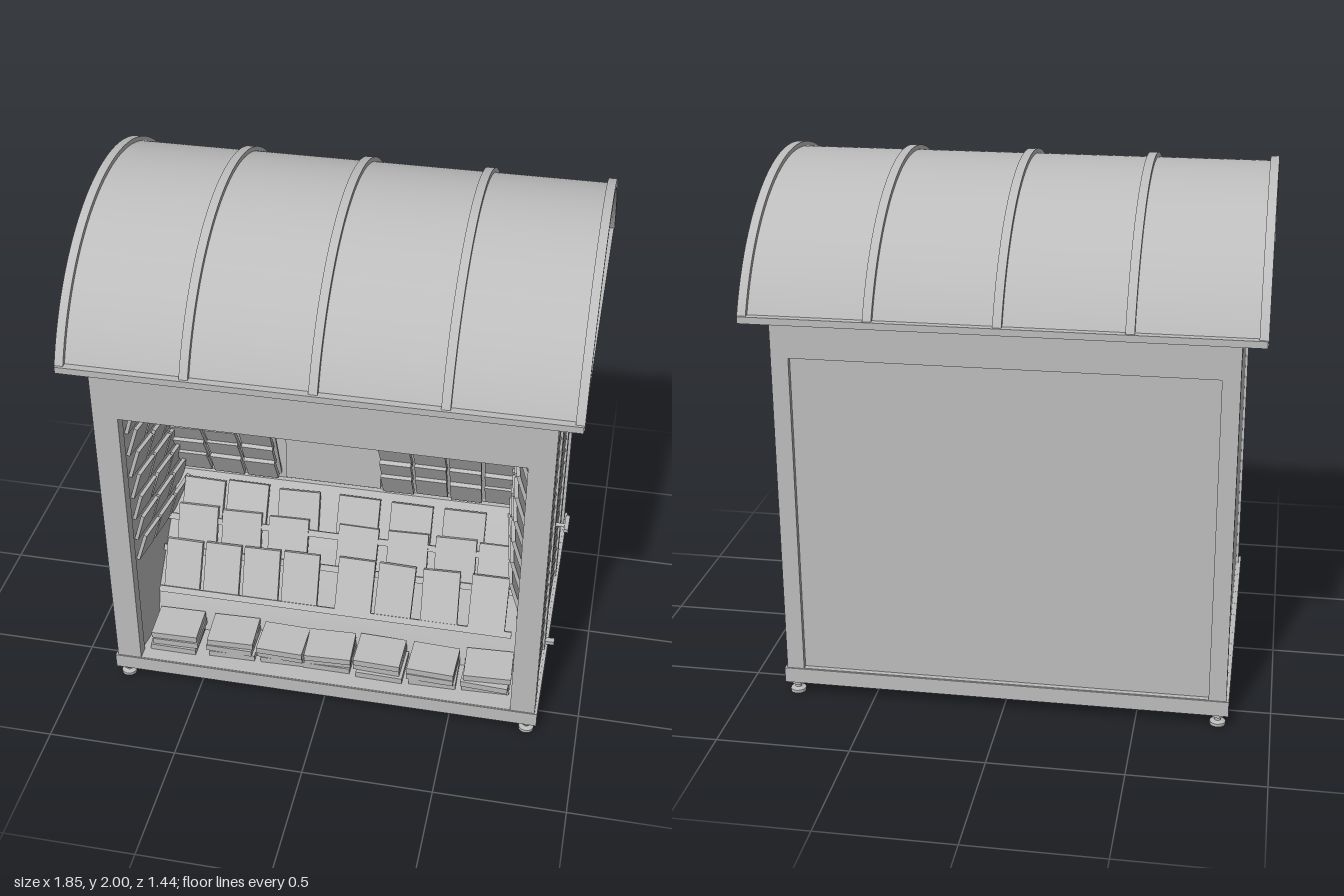
import * as THREE from 'three';
import { toCreasedNormals } from 'three/addons/utils/BufferGeometryUtils.js';

const grey = new THREE.MeshStandardMaterial({ color: 0xbcbcbc });
grey.name = 'plain grey';

let seed = 7;
const rand = () => (seed = (seed * 16807) % 2147483647) / 2147483647;
const jitter = (a) => (rand() - 0.5) * 2 * a;

function add(parent, name, geometry) {
  const mesh = new THREE.Mesh(geometry, grey);
  mesh.name = name;
  parent.add(mesh);
  return mesh;
}

// Box given by its minimum and maximum on each axis
function block(parent, name, x0, x1, y0, y1, z0, z1) {
  const mesh = add(parent, name, new THREE.BoxGeometry(x1 - x0, y1 - y0, z1 - z0));
  mesh.position.set((x0 + x1) / 2, (y0 + y1) / 2, (z0 + z1) / 2);
  return mesh;
}

// Thin box with a centre and a tilt
function sheet(parent, name, w, h, d, x, y, z, rx = 0, ry = 0, rz = 0) {
  const mesh = add(parent, name, new THREE.BoxGeometry(w, h, d));
  mesh.position.set(x, y, z);
  mesh.rotation.set(rx, ry, rz);
  return mesh;
}

const rect = (a0, a1, b0, b1, Type = THREE.Shape) => new Type(
  [[a0, b0], [a1, b0], [a1, b1], [a0, b1]].map(([a, b]) => new THREE.Vector2(a, b)));

function extrude(shape, depth) {
  return new THREE.ExtrudeGeometry(shape, { depth, bevelEnabled: false, curveSegments: 40 });
}

// Extrudes a shape drawn in (-z, y) along x
function alongX(parent, name, shape, x0, x1) {
  const geometry = extrude(shape, x1 - x0).rotateY(Math.PI / 2).translate(x0, 0, 0);
  return add(parent, name, toCreasedNormals(geometry, 0.4));
}

// Arch band between two radii, or a filled segment when inner is 0
const ARC_Y = 1.226, EAVE = 1.52;
function arch(outer, inner) {
  const angle = (r) => Math.asin((EAVE - ARC_Y) / r);
  const shape = new THREE.Shape();
  const a = angle(outer);
  shape.absarc(0, ARC_Y, outer, a, Math.PI - a, false);
  if (inner) {
    const b = angle(inner);
    shape.absarc(0, ARC_Y, inner, Math.PI - b, b, true);
  }
  shape.closePath();
  return shape;
}

function buildRoof() {
  const roof = new THREE.Group();
  roof.name = 'roof';
  block(roof, 'eavePlate', -0.92, 0.92, 1.51, 1.535, -0.72, 0.72);
  alongX(roof, 'roofSkin', arch(0.757, 0.738), -0.91, 0.91);
  for (const x of [-0.907, -0.457, 0, 0.457, 0.907]) {
    alongX(roof, 'roofRib', arch(0.774, 0.74), x - 0.016, x + 0.016);
  }
  alongX(roof, 'gableWalls', arch(0.745, 0), -0.86, 0.86);
  return roof;
}

function buildBody() {
  const body = new THREE.Group();
  body.name = 'body';
  block(body, 'basePlate', -0.845, 0.845, 0.05, 0.11, -0.635, 0.635);

  // Front frame around the display opening
  const front = rect(-0.83, 0.83, 0.11, 1.515);
  front.holes.push(rect(-0.74, 0.74, 0.112, 1.275, THREE.Path));
  add(body, 'frontFrame', extrude(front, 0.05).translate(0, 0, 0.58));

  // Back frame and recessed panel
  const back = rect(-0.83, 0.83, 0.11, 1.515);
  back.holes.push(rect(-0.77, 0.77, 0.112, 1.36, THREE.Path));
  add(body, 'backFrame', extrude(back, 0.03).translate(0, 0, -0.63));
  block(body, 'backPanel', -0.8, 0.8, 0.11, 1.5, -0.61, -0.6);

  // Side with three bays
  const bays = [[0.27, 0.555], [-0.19, 0.2], [-0.56, -0.26]];
  const side = rect(-0.63, 0.63, 0.11, 1.515);
  for (const [z0, z1] of bays) side.holes.push(rect(-z1, -z0, 0.112, 1.36, THREE.Path));
  alongX(body, 'doorSideFrame', side, 0.8, 0.835);
  block(body, 'doorSidePanel', 0.79, 0.808, 0.11, 1.5, -0.6, 0.6);
  for (const [z0, z1] of bays.slice(0, 2)) {
    for (let i = 0; i < 19; i++) {
      sheet(body, 'louverSlat', 0.006, 0.06, z1 - z0, 0.817, 0.165 + i * 0.064, (z0 + z1) / 2, 0, 0, 0.3);
    }
  }

  // Plain side
  const plain = rect(-0.63, 0.63, 0.11, 1.515);
  plain.holes.push(rect(-0.57, 0.57, 0.112, 1.42, THREE.Path));
  alongX(body, 'plainSideFrame', plain, -0.835, -0.8);
  block(body, 'plainSidePanel', -0.825, -0.79, 0.11, 1.5, -0.6, 0.6);

  // Door handle and lower bolt
  const stem = add(body, 'handleStem', new THREE.CylinderGeometry(0.008, 0.008, 0.05, 10));
  stem.rotation.z = Math.PI / 2;
  stem.position.set(0.855, 0.73, 0.235);
  block(body, 'handleLever', 0.868, 0.884, 0.724, 0.738, 0.18, 0.27);
  block(body, 'lowerBolt', 0.83, 0.87, 0.115, 0.13, 0.215, 0.24);

  // Levelling feet
  for (const x of [-0.805, 0.805]) for (const z of [-0.6, 0.6]) {
    const profile = [[0, 0], [0.03, 0], [0.03, 0.012], [0.012, 0.018], [0.012, 0.032], [0.024, 0.034], [0.024, 0.05], [0, 0.05]];
    const geometry = new THREE.LatheGeometry(profile.map(([r, y]) => new THREE.Vector2(r, y)), 12);
    add(body, 'foot', toCreasedNormals(geometry, 0.6)).position.set(x, 0, z);
  }
  return body;
}

function buildDisplay() {
  const display = new THREE.Group();
  display.name = 'newspaperDisplay';
  block(display, 'ceiling', -0.79, 0.79, 1.28, 1.36, 0.1, 0.6);
  block(display, 'innerWall', -0.79, 0.79, 0.11, 1.36, 0.09, 0.11);
  block(display, 'servingWindow', -0.245, 0.135, 0.72, 1.085, 0.11, 0.135);

  // Sloping lower rack
  const slope = new THREE.Shape([[0.42, 0.11], [0.38, 0.28], [0.13, 0.7], [0.1, 0.7], [0.1, 0.11]]
    .map(([z, y]) => new THREE.Vector2(-z, y)));
  alongX(display, 'lowerRack', slope, -0.73, 0.73);

  // Papers leaning back on the rack: [y, z, height, width, positions]
  const rows = [
    [0.4, 0.37, 0.22, 0.145, [-0.62, -0.46, -0.3, -0.14, 0.08, 0.24, 0.42, 0.61]],
    [0.52, 0.275, 0.18, 0.16, [-0.58, -0.4, -0.21, 0.07, 0.27, 0.46, 0.63]],
    [0.62, 0.205, 0.16, 0.165, [-0.57, -0.39, -0.18, 0.06, 0.27, 0.48]],
  ];
  for (const [y, z, h, w, xs] of rows) {
    for (const x of xs) {
      sheet(display, 'leaningPaper', w, h, 0.022, x, y + jitter(0.008), z, -0.45 + jitter(0.04), 0, jitter(0.03));
    }
    sheet(display, 'rackLip', 1.42, 0.025, 0.012, 0, y - h * 0.42, z + 0.055, -0.5);
  }

  // Flat stacks on the floor
  for (const x of [-0.62, -0.39, -0.18, 0, 0.21, 0.42, 0.63]) {
    for (let i = 0; i < 3; i++) {
      sheet(display, 'stackedPaper', 0.185, 0.027, 0.15, x + jitter(0.006), 0.127 + i * 0.029, 0.49 + jitter(0.01), 0.06, jitter(0.05), 0);
    }
  }

  // Overhanging tiers either side of the window
  for (const [x0, x1] of [[-0.68, -0.27], [0.14, 0.68]]) {
    const n = x0 < 0 ? 3 : 4, step = (x1 - x0) / n;
    sheet(display, 'upperRack', x1 - x0, 0.46, 0.01, (x0 + x1) / 2, 0.93, 0.185, 0.35);
    for (let t = 0; t < 4; t++) for (let i = 0; i < n; i++) {
      sheet(display, 'hangingPaper', step * 0.9, 0.13, 0.018, x0 + (i + 0.5) * step, 0.78 + t * 0.085 + jitter(0.006),
        0.165 + t * 0.03, 0.5, 0, jitter(0.03));
    }
  }
  block(display, 'topRail', -0.7, 0.7, 1.24, 1.28, 0.27, 0.29);
  for (const x of [-0.6, -0.435, -0.285, -0.14, 0.075, 0.235, 0.45, 0.6]) {
    sheet(display, 'topPaper', 0.13, 0.155, 0.02, x, 1.178 + jitter(0.008), 0.285, 0.45, 0, jitter(0.03));
  }

  // Splayed side racks
  for (const s of [-1, 1]) {
    const rack = new THREE.Group();
    rack.name = 'sideRack';
    rack.position.set(s * 0.725, 0, 0.345);
    rack.rotation.y = -s * 1.44;
    sheet(rack, 'sideBoard', 0.47, 1.17, 0.01, 0, 0.695, 0);
    for (let r = 0; r < 7; r++) for (let c = -1; c <= 1; c++) {
      sheet(rack, 'sidePaper', 0.13, 0.13, 0.014, c * 0.145, 0.62 + r * 0.1, 0.03, 0.3, 0, jitter(0.04));
    }
    display.add(rack);
  }
  return display;
}

export function createModel() {
  const model = new THREE.Group();
  model.name = 'newsstand';
  model.add(buildRoof(), buildBody(), buildDisplay());
  return model;
}
